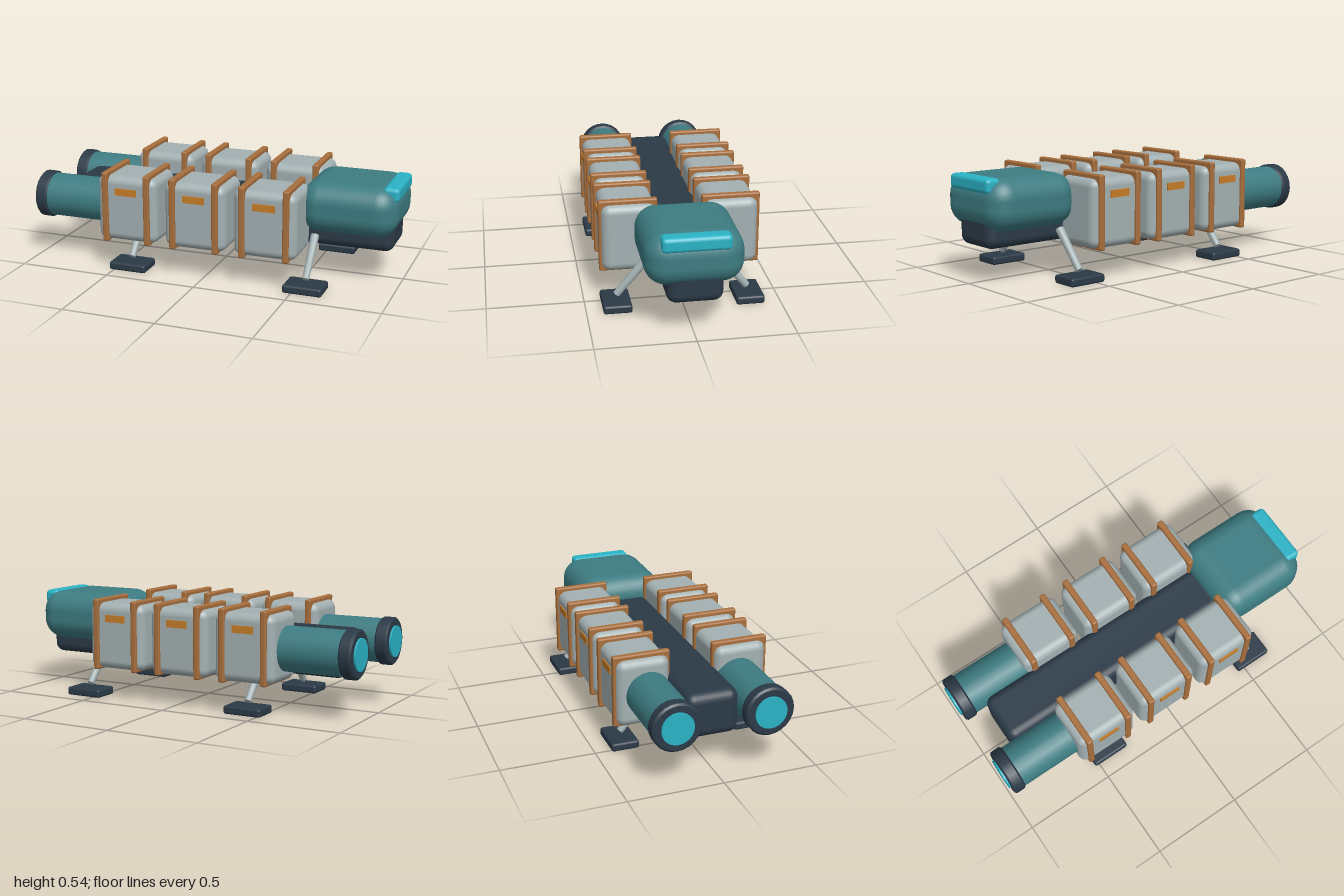
import * as THREE from 'three';
import { RoundedBoxGeometry } from 'three/addons/geometries/RoundedBoxGeometry.js';

const paint = (name, color) => {
  const m = new THREE.MeshStandardMaterial({ color });
  m.name = name;
  return m;
};

export function createModel() {
  const teal = paint('hull teal', 0x3d7c82);
  const grey = paint('cargo grey', 0xa3b0b2);
  const dark = paint('dark slate', 0x2b3a47);
  const brown = paint('strap copper', 0xa86f3d);
  const orange = paint('label orange', 0xc77d27);
  const cyan = paint('glass cyan', 0x2bb3c6);

  const model = new THREE.Group();
  model.name = 'cargoShip';

  const add = (name, geometry, material, x, y, z, parent = model) => {
    const mesh = new THREE.Mesh(geometry, material);
    mesh.name = name;
    mesh.position.set(x, y, z);
    parent.add(mesh);
    return mesh;
  };
  const rounded = (w, h, d, r, segments = 3) => new RoundedBoxGeometry(w, h, d, segments, r);

  // Central spine, cabin and windshield
  add('spine', rounded(1.825, 0.24, 0.28, 0.05), dark, 0.0525, 0.3, 0);
  add('cabin', rounded(0.52, 0.27, 0.49, 0.11, 4), teal, 0.73, 0.405, 0);
  add('windshield', rounded(0.085, 0.077, 0.34, 0.022), cyan, 0.9485, 0.503, 0);

  // Shared geometries
  const crateGeo = rounded(0.342, 0.358, 0.28, 0.045);
  const strapGeo = rounded(0.034, 0.384, 0.302, 0.009, 2);
  const labelGeo = new THREE.BoxGeometry(0.12, 0.038, 0.009);
  const footGeo = rounded(0.21, 0.044, 0.147, 0.012, 2);
  const engineGeo = new THREE.CylinderGeometry(0.118, 0.118, 0.4, 24).rotateZ(Math.PI / 2);
  const glowGeo = new THREE.CylinderGeometry(0.084, 0.084, 0.02, 24).rotateZ(Math.PI / 2);
  // Nozzle collar with chamfered edges
  const collarGeo = new THREE.CylinderGeometry(0.128, 0.128, 0.05, 24).rotateZ(Math.PI / 2);
  const chamferGeo = new THREE.CylinderGeometry(0.118, 0.128, 0.009, 24).rotateZ(Math.PI / 2);

  // Leg strut running from the hull down and outwards to the foot
  const legTop = new THREE.Vector3(0, 0.252, 0.179);
  const legEnd = new THREE.Vector3(0, 0.062, 0.339);
  const legDir = legTop.clone().sub(legEnd);
  const legGeo = new THREE.CylinderGeometry(0.023, 0.019, legDir.length(), 12);

  for (const side of [1, -1]) {
    const prefix = side > 0 ? 'front' : 'back';

    // Strapped cargo containers
    [-0.42, -0.035, 0.35].forEach((x, i) => {
      const crate = new THREE.Group();
      crate.name = `${prefix}Container${i + 1}`;
      crate.position.set(x, 0, 0);
      model.add(crate);
      add('containerBody', crateGeo, grey, 0, 0.344, side * 0.263, crate);
      for (const dx of [-0.119, 0.119]) {
        add('strap', strapGeo, brown, dx, 0.352, side * 0.265, crate);
      }
      add('label', labelGeo, orange, 0, 0.442, side * 0.4055, crate);
    });

    // Engine at the tail
    const engine = new THREE.Group();
    engine.name = `${prefix}Engine`;
    engine.position.set(0, 0.338, side * 0.242);
    model.add(engine);
    add('engineBody', engineGeo, teal, -0.74, 0, 0, engine);
    add('nozzleCollar', collarGeo, dark, -0.954, 0, 0, engine);
    add('collarRearChamfer', chamferGeo, dark, -0.9835, 0, 0, engine).rotation.y = 0;
    add('collarFrontChamfer', chamferGeo, dark, -0.9245, 0, 0, engine).rotation.y = Math.PI;
    add('engineGlow', glowGeo, cyan, -0.988, 0, 0, engine);

    // Landing legs
    for (const x of [-0.42, 0.56]) {
      const dir = new THREE.Vector3(0, legDir.y, side * legDir.z).normalize();
      const leg = add('landingLeg', legGeo, grey, x, (legTop.y + legEnd.y) / 2, side * (legTop.z + legEnd.z) / 2);
      leg.quaternion.setFromUnitVectors(new THREE.Vector3(0, 1, 0), dir);
      add('landingFoot', footGeo, dark, x, 0.022, side * 0.342);
    }
  }
  return model;
}
